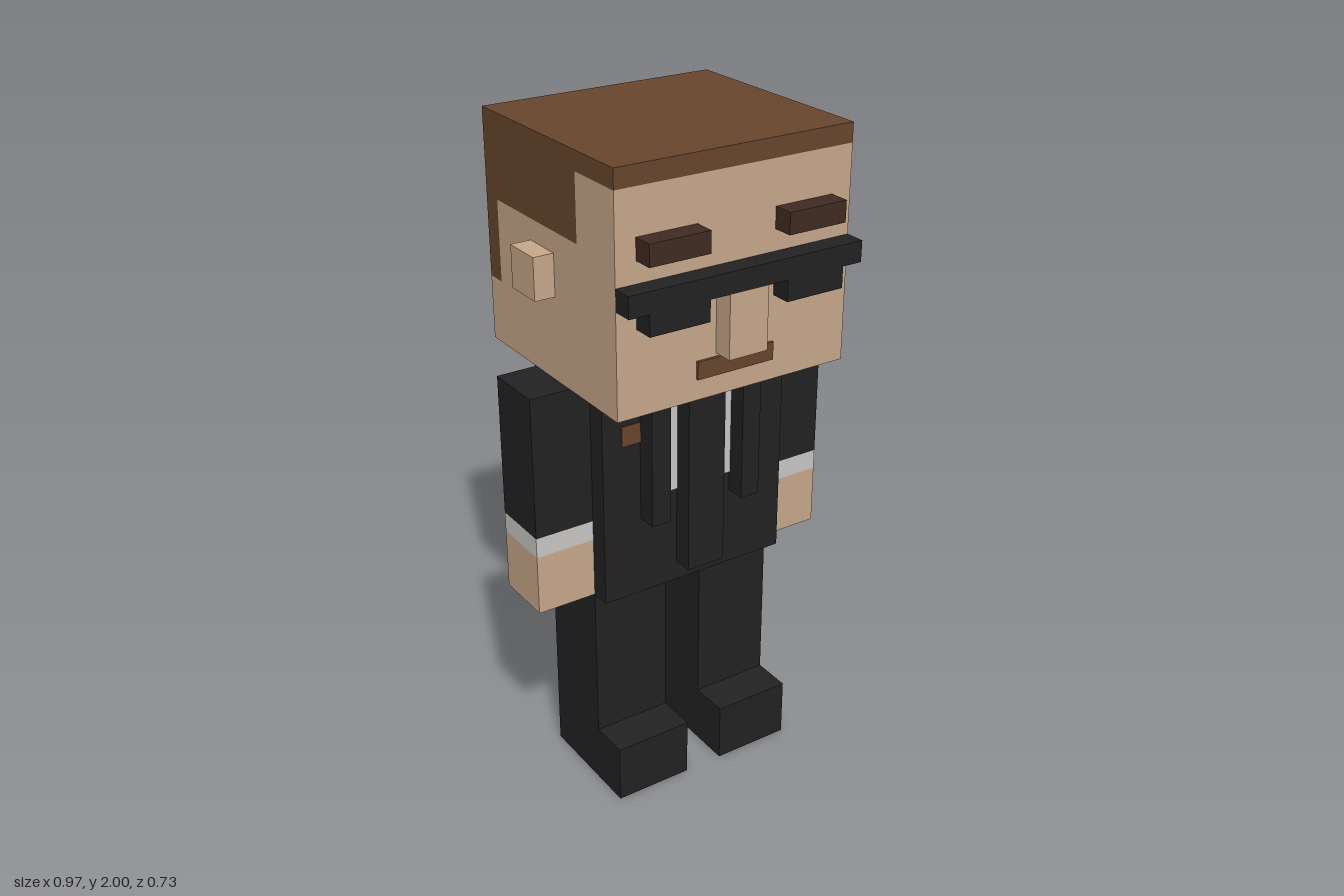
import * as THREE from 'three';

const U = 2 / 33; // one block

function material(name, color) {
  const m = new THREE.MeshStandardMaterial({ color });
  m.name = name;
  return m;
}

export function createModel() {
  const skin = material('skin', 0xc8a88c);
  const hair = material('hair brown', 0x69462d);
  const brow = material('dark brown', 0x402b22);
  const suit = material('suit black', 0x222222);
  const white = material('shirt white', 0xc9c8c5);

  const model = new THREE.Group();
  model.name = 'suitedFigure';

  // Box between two corners, in blocks
  function box(name, mat, [x0, y0, z0], [x1, y1, z1]) {
    const geo = new THREE.BoxGeometry((x1 - x0) * U, (y1 - y0) * U, (z1 - z0) * U);
    const mesh = new THREE.Mesh(geo, mat);
    mesh.position.set((x0 + x1) * U / 2, (y0 + y1) * U / 2, (z0 + z1) * U / 2);
    mesh.name = name;
    model.add(mesh);
  }

  // The same box on both sides
  function pair(name, mat, a, b) {
    box(name + 'Left', mat, a, b);
    box(name + 'Right', mat, [-b[0], a[1], a[2]], [-a[0], b[1], b[2]]);
  }

  // Side profile of (z, y) points, extruded across the head
  function headPiece(name, mat, points) {
    const shape = new THREE.Shape(points.map(([z, y]) => new THREE.Vector2(z * U, y * U)));
    const geo = new THREE.ExtrudeGeometry(shape, { depth: 12 * U, bevelEnabled: false });
    geo.translate(0, 0, -6 * U).rotateY(-Math.PI / 2);
    const mesh = new THREE.Mesh(geo, mat);
    mesh.name = name;
    model.add(mesh);
  }

  // Head: face and hair meet along a stepped hairline
  const hairline = [[5, 32.1], [2, 32.1], [2, 29], [-5, 29], [-5, 25.1], [-6, 25.1]];
  headPiece('head', skin, [[-6, 22], [5, 22], ...hairline]);
  headPiece('hair', hair, [[5, 33], [-6, 33], ...[...hairline].reverse()]);

  // Face
  pair('eyebrow', brow, [2, 29, 5], [5, 30, 6]);
  box('glassesBar', suit, [-6, 27, 5], [6, 28, 6]);
  pair('lens', suit, [2, 26, 5], [5, 27, 6]);
  box('nose', skin, [-1, 24, 5], [1, 27, 6]);
  box('mouth', hair, [-2, 23, 5], [2, 23.85, 5.13]);
  pair('ear', skin, [6, 26, -2], [7, 28, 0]);

  // Earpiece cord behind the left ear
  box('earpieceTop', white, [7, 25, -1], [8, 26, 0]);
  box('earpieceMiddle', white, [7, 24, -2], [8, 25, -1]);
  box('earpieceCord', white, [6, 22, -3], [7, 24, -2]);

  // Jacket, shirt front and tie
  box('jacket', suit, [-5, 11, -4], [5, 22, 2]);
  box('shirtFront', white, [-2, 16, 2], [2, 22, 2.06]);
  pair('lapel', suit, [2, 15, 2], [3, 22, 3]);
  box('tie', suit, [-1, 12, 2], [1, 21, 3]);
  box('badge', hair, [-4, 19, 2], [-3, 20, 2.06]);

  // Arms
  pair('sleeve', suit, [5, 15, -2], [8, 22, 1]);
  pair('cuff', white, [5, 14, -2], [8, 15, 1]);
  pair('hand', skin, [5, 11, -2], [8, 14, 1]);

  // Legs and shoes
  pair('leg', suit, [1, 0, -3], [5, 11, 1]);
  pair('shoe', suit, [1, 0, 1], [5, 3, 3]);

  return model;
}
